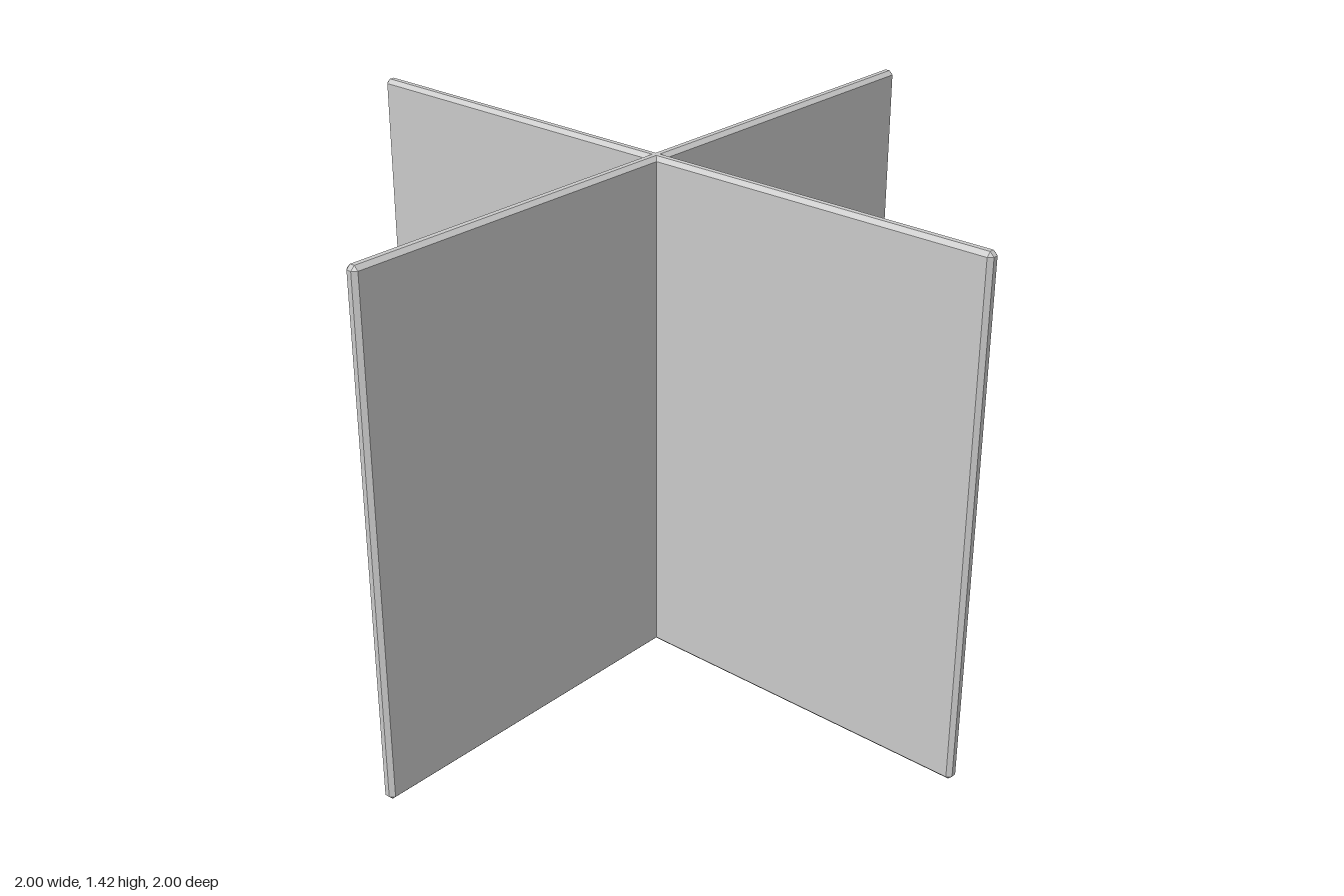
import * as THREE from 'three';
import { ConvexGeometry } from 'three/addons/geometries/ConvexGeometry.js';

// Box with every edge and corner chamfered by c
function chamferedBox(w, h, d, c) {
  const points = [];
  for (const sx of [-1, 1]) for (const sy of [-1, 1]) for (const sz of [-1, 1]) {
    const x = w / 2, y = h / 2, z = d / 2;
    points.push(
      new THREE.Vector3(sx * x, sy * (y - c), sz * (z - c)),
      new THREE.Vector3(sx * (x - c), sy * y, sz * (z - c)),
      new THREE.Vector3(sx * (x - c), sy * (y - c), sz * z)
    );
  }
  return new ConvexGeometry(points);
}

export function createModel() {
  const group = new THREE.Group();
  group.name = 'crossedPanels';
  const material = new THREE.MeshStandardMaterial({ color: 0xcccccc, flatShading: true });
  const height = 1.42;
  const geometry = chamferedBox(2, height, 0.036, 0.011);

  // Two identical upright panels crossing at right angles
  ['sidewaysPanel', 'lengthwisePanel'].forEach((name, i) => {
    const panel = new THREE.Mesh(geometry, material);
    panel.name = name;
    panel.position.y = height / 2;
    panel.rotation.y = i * Math.PI / 2;
    group.add(panel);
  });
  return group;
}
